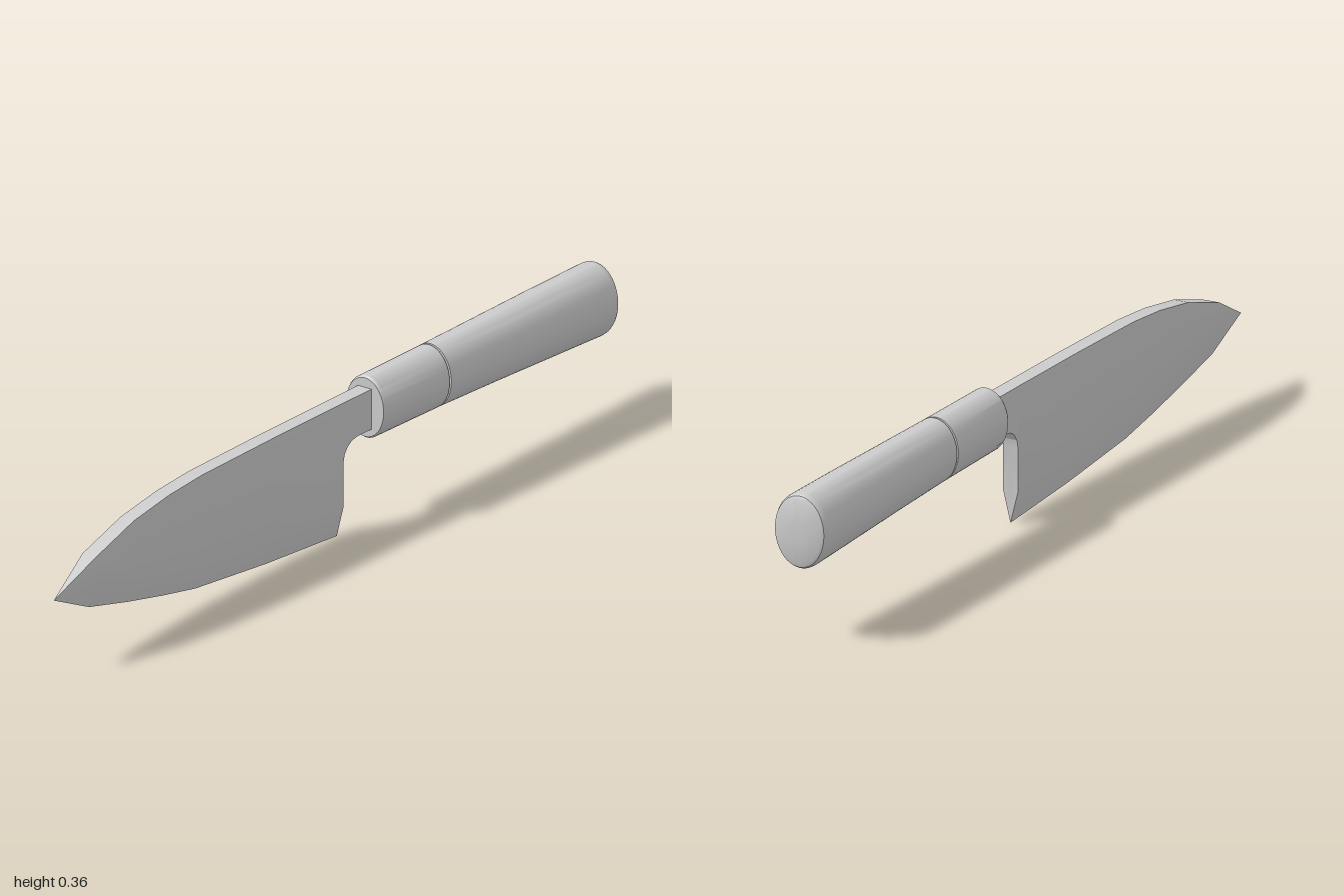
import * as THREE from 'three';
import { toCreasedNormals } from 'three/addons/utils/BufferGeometryUtils.js';

const material = new THREE.MeshStandardMaterial({ color: 0xcccccc });

// Skin a list of rings (each counter-clockwise seen from +z), ordered from front to back
function loft(name, rings, crease) {
  const n = rings[0].length;
  const positions = [];
  const ab = new THREE.Vector3(), ac = new THREE.Vector3();
  const tri = (a, b, c) => {
    ab.subVectors(b, a);
    ac.subVectors(c, a);
    if (ab.cross(ac).length() < 1e-9) return; // collapsed triangle
    for (const p of [a, b, c]) positions.push(p.x, p.y, p.z);
  };
  for (let i = 0; i < rings.length - 1; i++) {
    for (let j = 0; j < n; j++) {
      const k = (j + 1) % n;
      const a = rings[i][j], b = rings[i][k], c = rings[i + 1][k], d = rings[i + 1][j];
      tri(a, d, b);
      tri(b, d, c);
    }
  }
  const first = rings[0], last = rings[rings.length - 1];
  for (let j = 1; j < n - 1; j++) {
    tri(first[0], first[j], first[j + 1]);
    tri(last[0], last[j + 1], last[j]);
  }
  const geometry = new THREE.BufferGeometry();
  geometry.setAttribute('position', new THREE.Float32BufferAttribute(positions, 3));
  const mesh = new THREE.Mesh(toCreasedNormals(geometry, crease), material);
  mesh.name = name;
  return mesh;
}

// Five-sided blade section: flat spine, parallel cheeks, bevel down to the edge
function bladeRing([z, spine, shoulder, edge, w]) {
  return [[0, edge], [w, shoulder], [w, spine], [-w, spine], [-w, shoulder]]
    .map(([x, y]) => new THREE.Vector3(x, y, z));
}

// Oval handle section between a bottom and a top height
function ovalRing([z, bottom, top, rx], sides = 48) {
  return Array.from({ length: sides }, (_, i) => {
    const t = (i / sides) * Math.PI * 2;
    return new THREE.Vector3(
      rx * Math.cos(t), (top + bottom) / 2 + ((top - bottom) / 2) * Math.sin(t), z);
  });
}

export function createModel() {
  const group = new THREE.Group();
  group.name = 'kitchenKnife';
  const w = 0.019;

  // Blade from tip to heel, then the curved neck running into the ferrule
  const blade = [ // z, spine, shoulder, edge, half width
    [1, 0.185, 0.185, 0.185, 0],
    [0.87, 0.252, 0.195, 0.127, w],
    [0.73, 0.295, 0.165, 0.094, w],
    [0.6, 0.315, 0.138, 0.067, w],
    [0.48, 0.324, 0.118, 0.045, w],
    [0.22, 0.328, 0.094, 0.02, w],
    [-0.04, 0.329, 0.078, 0.003, w],
    [-0.04, 0.329, 0.185, 0.185, w],
    [-0.044, 0.329, 0.203, 0.203, w],
    [-0.055, 0.329, 0.218, 0.218, w],
    [-0.071, 0.329, 0.228, 0.228, w],
    [-0.09, 0.329, 0.232, 0.232, w],
    [-0.17, 0.329, 0.232, 0.232, w],
  ];
  group.add(loft('blade', blade.map(bladeRing), 0.4));

  // Ferrule with a small chamfer at the front
  const ferrule = [ // z, bottom, top, half width
    [-0.143, 0.21, 0.352, 0.053],
    [-0.149, 0.206, 0.356, 0.056],
    [-0.378, 0.203, 0.356, 0.059],
  ];
  group.add(loft('ferrule', ferrule.map((s) => ovalRing(s)), 0.5));

  // Recessed ring between ferrule and grip
  const groove = [[-0.37, 0.209, 0.35, 0.054], [-0.395, 0.209, 0.35, 0.054]];
  group.add(loft('groove', groove.map((s) => ovalRing(s)), 0.5));

  // Grip swelling towards a rounded butt
  const grip = [
    [-0.384, 0.203, 0.356, 0.059],
    [-0.6, 0.196, 0.358, 0.062],
    [-0.8, 0.188, 0.36, 0.065],
    [-0.975, 0.181, 0.36, 0.067],
    [-0.985, 0.182, 0.359, 0.066],
    [-0.992, 0.186, 0.355, 0.063],
    [-0.996, 0.195, 0.346, 0.056],
    [-1, 0.245, 0.296, 0.02],
  ];
  group.add(loft('grip', grip.map((s) => ovalRing(s)), 0.6));

  return group;
}
